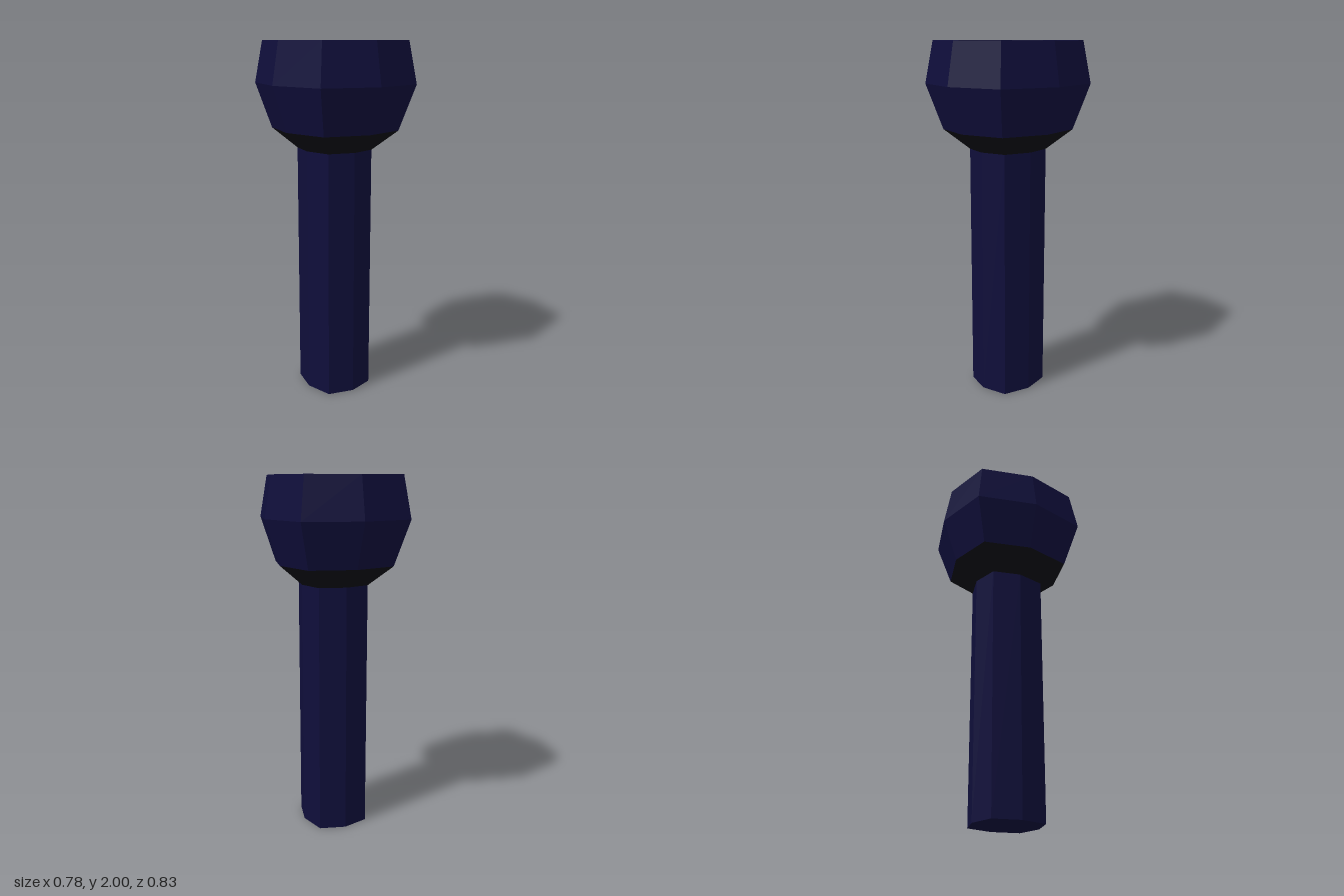
import * as THREE from 'three';

// One corner of the stretched eight-sided cross-section.
function corner(i, [rx, rz, y]) {
  const a = (i % 8) * Math.PI / 4;
  const diagonal = i % 2 ? 0.795 * Math.SQRT2 : 1;
  return [Math.sin(a) * rx * diagonal, y, Math.cos(a) * rz * diagonal];
}

// Skins a list of rings [rx, rz, y], ordered from the bottom up and over the rim.
function skin(name, rings, material) {
  const points = [];
  for (let r = 0; r < rings.length - 1; r++) {
    for (let i = 0; i < 8; i++) {
      const a = corner(i, rings[r]), b = corner(i + 1, rings[r]);
      const c = corner(i + 1, rings[r + 1]), d = corner(i, rings[r + 1]);
      if (rings[r][0] > 0) points.push(...a, ...b, ...c);
      if (rings[r + 1][0] > 0) points.push(...a, ...c, ...d);
      else if (rings[r][0] > 0) continue;
    }
  }
  const geometry = new THREE.BufferGeometry();
  geometry.setAttribute('position', new THREE.Float32BufferAttribute(points, 3));
  geometry.computeVertexNormals(); // unshared corners give flat facets
  const mesh = new THREE.Mesh(geometry, material);
  mesh.name = name;
  return mesh;
}

export function createModel() {
  const navy = new THREE.MeshStandardMaterial({ color: 0x0f0e3a });
  navy.name = 'dark navy';
  const black = new THREE.MeshStandardMaterial({ color: 0x0e0e14 });
  black.name = 'near black';

  const stemTop = [0.182, 0.195, 1.41];
  const cupBase = [0.31, 0.33, 1.52];
  const rim = [0.35, 0.374, 2];
  const mouth = [0.25, 0.267, 2];
  const cupFloor = [0.217, 0.231, 1.52];

  const group = new THREE.Group();
  group.name = 'cupOnStem';
  group.add(
    // closed foot and straight shaft
    skin('stem', [[0, 0, 0], [0.182, 0.195, 0], stemTop], navy),
    // flared underside of the cup
    skin('collar', [stemTop, cupBase], black),
    // bulging outside and flat rim
    skin('cup', [cupBase, [0.39, 0.416, 1.77], rim, mouth], navy),
    // tapered inside wall and floor
    skin('cupInside', [mouth, cupFloor, [0, 0, 1.52]], navy),
  );
  return group;
}
